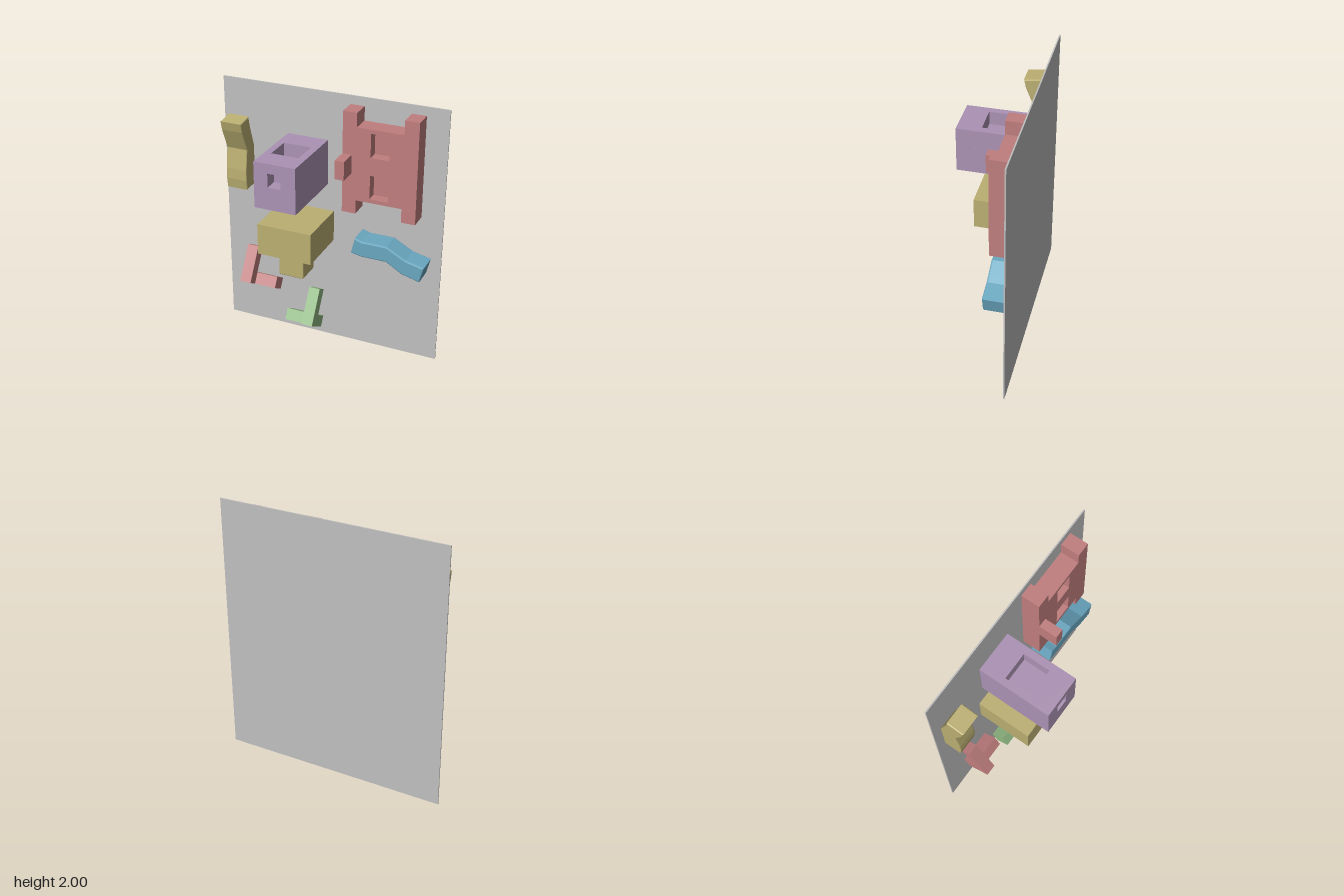
import * as THREE from 'three';
import { RoundedBoxGeometry } from 'three/addons/geometries/RoundedBoxGeometry.js';

const material = (name, color) => {
  const m = new THREE.MeshStandardMaterial({ color });
  m.name = name;
  return m;
};

const BACK = -0.275; // front face of the board

const polygon = (points) => new THREE.Shape(points.map(([x, y]) => new THREE.Vector2(x, y)));
const rect = (x0, x1, y0, y1) => polygon([[x0, y0], [x1, y0], [x1, y1], [x0, y1]]);

// Box given by its limits
function box(x0, x1, y0, y1, z0, z1) {
  return new THREE.BoxGeometry(x1 - x0, y1 - y0, z1 - z0)
    .translate((x0 + x1) / 2, (y0 + y1) / 2, (z0 + z1) / 2);
}

// Prism from a front outline between two depths, with optional bevel and holes
function prism(points, from, to, bevel = 0, holes = []) {
  const shape = polygon(points);
  shape.holes.push(...holes);
  return new THREE.ExtrudeGeometry(shape, {
    depth: to - from - 2 * bevel, bevelEnabled: bevel > 0, bevelSize: bevel,
    bevelThickness: bevel, bevelOffset: -bevel, bevelSegments: 2,
  }).translate(0, 0, from + bevel);
}

// Prism from a side profile of [z, y] points, running along x
const sidePrism = (points, x0, x1, bevel) =>
  prism(points.map(([z, y]) => [-z, y]), x0, x1, bevel).rotateY(Math.PI / 2);

export function createModel() {
  const grey = material('board grey', 0xc0c0c0);
  const red = material('dusty red', 0xc07e7e);
  const purple = material('soft purple', 0xab92b4);
  const yellow = material('sand yellow', 0xbbaf72);
  const blue = material('soft blue', 0x6aa7c0);
  const green = material('leaf green', 0x8fb882);

  const model = new THREE.Group();
  const group = (name) => {
    const g = new THREE.Group();
    g.name = name;
    model.add(g);
    return g;
  };
  const add = (parent, name, geometry, mat) => {
    const mesh = new THREE.Mesh(geometry, mat);
    mesh.name = name;
    parent.add(mesh);
  };

  add(model, 'backBoard', box(-0.86, 0.86, 0, 2, -0.285, BACK), grey);

  // Panel with four horns, two pockets and a knob
  const panel = group('pocketPanel');
  const outline = [
    [0.14, 1.17], [0.245, 1.17], [0.245, 1.275], [0.59, 1.275], [0.59, 1.17], [0.695, 1.17],
    [0.695, 1.935], [0.59, 1.935], [0.59, 1.83], [0.245, 1.83], [0.245, 1.935], [0.14, 1.935],
  ];
  const pockets = [[1.305, 1.485], [1.62, 1.8]].map(([y0, y1]) => rect(0.35, 0.49, y0, y1));
  add(panel, 'panelBack', prism(outline, BACK, -0.215), red);
  add(panel, 'panelFront', prism(outline, -0.215, -0.135, 0, pockets), red);
  add(panel, 'panelKnob', box(0.14, 0.21, 1.48, 1.62, -0.135, 0.005), red);

  // Deep block with a pocket in its front and one in its top
  const block = group('pocketBlock');
  const [bx0, bx1, by0, by1] = [-0.345, -0.03, 1.29, 1.637];
  const split = 0.18, floor = 1.535;
  add(block, 'blockFront', prism([[bx0, by0], [bx1, by0], [bx1, by1], [bx0, by1]],
    split, 0.28, 0, [rect(-0.24, -0.14, 1.46, 1.565)]), purple);
  add(block, 'blockBase', box(bx0, bx1, by0, floor, BACK, split), purple);
  const top = prism([[bx0, -split], [bx1, -split], [bx1, -BACK], [bx0, -BACK]],
    floor, by1, 0, [rect(-0.295, -0.085, -0.105, 0.1)]);
  // Turn the slab flat: outline y becomes -z, depth becomes y
  add(block, 'blockTop', top.rotateX(-Math.PI / 2), purple);

  // Ledge with a hanging peg
  const ledge = group('ledge');
  add(ledge, 'ledgeBlock', box(-0.4, 0.02, 0.84, 1.08, BACK, 0.145), yellow);
  add(ledge, 'ledgePeg', new RoundedBoxGeometry(0.195, 0.225, 0.195, 2, 0.008)
    .translate(-0.1875, 0.7475, -0.0625), yellow);

  // Bent handle leaning out of the board
  add(model, 'bentHandle', sidePrism([
    [BACK, 1.19], [-0.14, 1.185], [-0.13, 1.26], [-0.133, 1.34], [-0.155, 1.5],
    [-0.087, 1.66], [-0.07, 1.73], [-0.2, 1.747], [-0.22, 1.66], [BACK, 1.5],
  ], -0.79, -0.625, 0.008), yellow);

  // Wavy handle lying along the board
  add(model, 'wavyHandle', prism([
    [0.225, 0.86], [0.31, 0.843], [0.5, 0.843], [0.615, 0.772], [0.755, 0.735],
    [0.785, 0.855], [0.645, 0.888], [0.5, 0.967], [0.31, 0.967], [0.255, 0.985],
  ], BACK, -0.105, 0.01), blue);

  // Tilted three-armed brackets, mirrored to each other
  const bracket = (name, mat, x0, x1, armEnd, y) => {
    const g = group(name);
    add(g, 'bracketPost', sidePrism([
      [-0.05, 0.18], [-0.2, 0.43], [-0.275, 0.39], [-0.17, 0.213], [-0.27, 0.153], [-0.225, 0.077],
    ], x0, x1), mat);
    add(g, 'bracketArm', sidePrism([
      [-0.125, 0.136], [-0.17, 0.213], [-0.27, 0.153], [-0.225, 0.077],
    ], Math.min(x1, armEnd), Math.max(x0, armEnd)), mat);
    g.position.y = y;
  };
  // Each arm overlaps its post
  bracket('leftBracket', green, -0.147, -0.06, -0.32, 0);
  bracket('rightBracket', red, -0.665, -0.577, -0.405, 0.26);

  return model;
}
